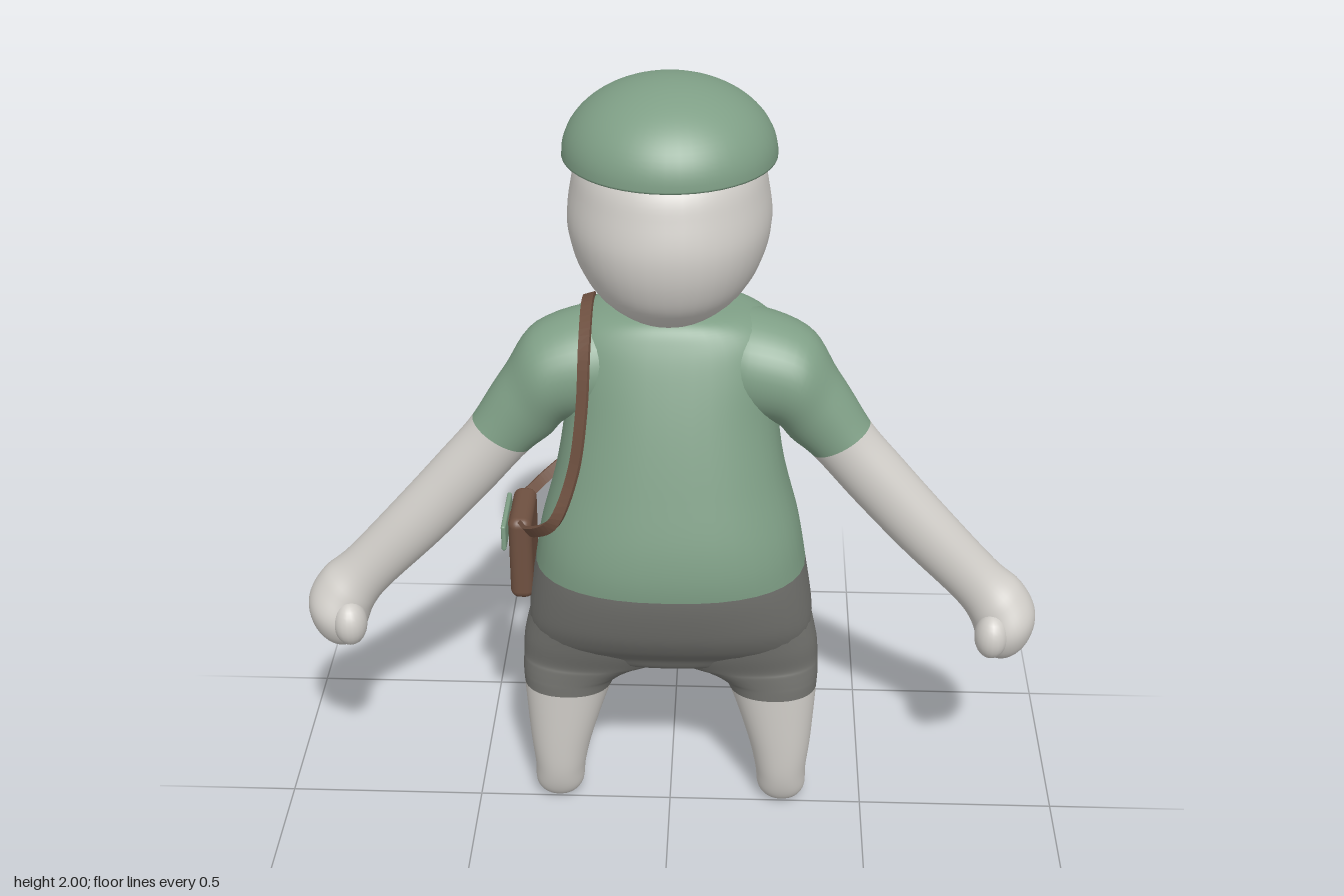
import * as THREE from 'three';
import { RoundedBoxGeometry } from 'three/addons/geometries/RoundedBoxGeometry.js';

const material = (name, color) => {
  const m = new THREE.MeshStandardMaterial({ color });
  m.name = name;
  return m;
};

// Smooth body through cross-sections [x, y, z, halfWidth, halfDepth, tiltDegrees], listed bottom to top.
// bands: [material, lastSectionIndex] from the bottom up. side -1 mirrors in x.
function loft(name, sections, bands, { side = 1, power = 2, steps = 6, sides = 40 } = {}) {
  const centres = new THREE.CatmullRomCurve3(
    sections.map(s => new THREE.Vector3(s[0], s[1], s[2])), false, 'catmullrom');
  const sizes = new THREE.CatmullRomCurve3(
    sections.map(s => new THREE.Vector3(s[3], s[4], s[5] || 0)), false, 'catmullrom');
  const rows = (sections.length - 1) * steps;
  const bend = v => Math.sign(v) * Math.abs(v) ** (2 / power);
  const positions = [], index = [];
  for (let j = 0; j <= rows; j++) {
    const c = centres.getPoint(j / rows), r = sizes.getPoint(j / rows);
    const tilt = THREE.MathUtils.degToRad(r.z);
    for (let i = 0; i < sides; i++) {
      const t = (i / sides) * Math.PI * 2;
      const u = Math.max(r.x, 0.001) * bend(Math.cos(t));
      const v = Math.max(r.y, 0.001) * bend(Math.sin(t));
      positions.push(side * (c.x + u * Math.cos(tilt)), c.y + u * Math.sin(tilt), c.z + v);
    }
  }
  for (let j = 0; j < rows; j++) {
    for (let i = 0; i < sides; i++) {
      const a = j * sides + i, b = j * sides + (i + 1) % sides;
      const c = a + sides, d = b + sides;
      if (side > 0) index.push(a, c, b, b, c, d);
      else index.push(a, b, c, b, d, c);
    }
  }
  const geometry = new THREE.BufferGeometry();
  geometry.setAttribute('position', new THREE.Float32BufferAttribute(positions, 3));
  geometry.setIndex(index);
  geometry.computeVertexNormals();
  let start = 0;
  bands.forEach(([, last], k) => {
    const end = last * steps * sides * 6;
    geometry.addGroup(start, end - start, k);
    start = end;
  });
  const mesh = new THREE.Mesh(geometry, bands.map(b => b[0]));
  mesh.name = name;
  return mesh;
}

// Flat strap that follows a path, its face turned away from a centre point
function ribbon(points, centre, width, thickness) {
  const curve = new THREE.CatmullRomCurve3(points.map(p => new THREE.Vector3(...p)));
  const n = 90, positions = [], index = [];
  const corners = [[-1, -1], [1, -1], [1, 1], [-1, 1]];
  for (let j = 0; j <= n; j++) {
    const p = curve.getPoint(j / n), t = curve.getTangent(j / n);
    const out = p.clone().sub(centre);
    out.addScaledVector(t, -out.dot(t)).normalize();
    const across = t.clone().cross(out);
    for (const [a, b] of corners) {
      const q = p.clone().addScaledVector(across, a * width / 2).addScaledVector(out, b * thickness / 2);
      positions.push(q.x, q.y, q.z);
    }
  }
  for (let j = 0; j < n; j++) {
    for (let i = 0; i < 4; i++) {
      const a = j * 4 + i, b = j * 4 + (i + 1) % 4;
      index.push(a, a + 4, b, b, a + 4, b + 4);
    }
  }
  let g = new THREE.BufferGeometry();
  g.setAttribute('position', new THREE.Float32BufferAttribute(positions, 3));
  g.setIndex(index);
  g = g.toNonIndexed();
  g.computeVertexNormals();
  return g;
}

export function createModel() {
  const skin = material('pale skin', 0xd0cdc8);
  const green = material('sage green', 0x7f9f86);
  const grey = material('shorts grey', 0x73736f);
  const brown = material('leather brown', 0x6e5040);
  const strapBrown = brown.clone();
  strapBrown.side = THREE.DoubleSide;

  const model = new THREE.Group();
  const add = (name, geometry, mat, x = 0, y = 0, z = 0) => {
    const mesh = new THREE.Mesh(geometry, mat);
    mesh.name = name;
    mesh.position.set(x, y, z);
    model.add(mesh);
    return mesh;
  };

  // Torso: shorts below the waist, shirt above
  model.add(loft('torso', [
    [0, 0.453, -0.04, 0.001, 0.001], [0, 0.455, -0.04, 0.2, 0.09],
    [0, 0.5, -0.042, 0.335, 0.125], [0, 0.55, -0.045, 0.355, 0.168],
    [0, 0.62, -0.05, 0.353, 0.207], [0, 0.74, -0.047, 0.335, 0.232],
    [0, 0.85, -0.046, 0.316, 0.225], [0, 1.0, -0.06, 0.277, 0.2],
    [0, 1.15, -0.09, 0.256, 0.185], [0, 1.27, -0.115, 0.262, 0.168],
    [0, 1.34, -0.127, 0.25, 0.15], [0, 1.38, -0.13, 0.19, 0.128],
    [0, 1.396, -0.125, 0.1, 0.09], [0, 1.4, -0.12, 0.03, 0.03],
  ], [[grey, 5], [green, 13]], { power: 2.35 }));

  // Head and neck
  model.add(loft('head', [
    [0, 1.36, -0.12, 0.085, 0.085], [0, 1.405, -0.118, 0.068, 0.078],
    [0, 1.435, -0.06, 0.085, 0.14], [0, 1.47, -0.02, 0.125, 0.185],
    [0, 1.53, 0.015, 0.175, 0.227], [0, 1.6, 0.022, 0.212, 0.256],
    [0, 1.68, 0.021, 0.23, 0.268], [0, 1.76, 0.016, 0.222, 0.257],
    [0, 1.83, 0.01, 0.203, 0.235], [0, 1.9, 0.01, 0.15, 0.16], [0, 1.94, 0.01, 0.001, 0.001],
  ], [[skin, 10]], { power: 2.1 }));

  // Domed cap with a thin underside
  const dome = [new THREE.Vector2(0.17, 1.836), new THREE.Vector2(0.24, 1.83)];
  for (let i = 0; i <= 20; i++) {
    const t = (i / 20) * Math.PI / 2;
    dome.push(new THREE.Vector2(0.24 * Math.cos(t), 1.834 + 0.166 * Math.sin(t)));
  }
  add('cap', new THREE.LatheGeometry(dome, 48), green, 0, 0, 0.02);

  for (const side of [1, -1]) {
    const label = side > 0 ? 'left' : 'right';
    // Leg, skin up to the hem of the shorts
    model.add(loft(label + 'Leg', [
      [0.293, 0, -0.037, 0.001, 0.001], [0.293, 0.004, -0.037, 0.035, 0.035],
      [0.292, 0.035, -0.036, 0.061, 0.06], [0.289, 0.1, -0.034, 0.066, 0.076],
      [0.283, 0.2, -0.035, 0.082, 0.085], [0.2625, 0.36, -0.037, 0.1125, 0.092],
      [0.246, 0.4, -0.038, 0.131, 0.094], [0.216, 0.43, -0.039, 0.16, 0.097],
      [0.186, 0.45, -0.04, 0.189, 0.1], [0.155, 0.51, -0.04, 0.215, 0.122],
      [0.15, 0.6, -0.045, 0.2, 0.15],
    ], [[skin, 5], [grey, 10]], { side, power: 2.2 }));

    // Arm from fist to shoulder, sleeve at the top
    model.add(loft(label + 'Arm', [
      [0.843, 0.488, -0.01, 0.001, 0.001, 15], [0.842, 0.494, -0.01, 0.035, 0.04, 15],
      [0.842, 0.53, -0.012, 0.068, 0.073, 20], [0.838, 0.58, -0.015, 0.081, 0.088, 28],
      [0.81, 0.635, -0.025, 0.078, 0.078, 36], [0.755, 0.692, -0.032, 0.07, 0.066, 40],
      [0.627, 0.828, -0.036, 0.075, 0.067, 41], [0.51, 0.958, -0.045, 0.078, 0.069, 38],
      [0.41, 1.074, -0.055, 0.081, 0.073, 31], [0.345, 1.153, -0.073, 0.1, 0.095, 55],
      [0.285, 1.225, -0.092, 0.122, 0.127, 70], [0.16, 1.25, -0.115, 0.133, 0.14, 85],
      [0.1, 1.25, -0.12, 0.1, 0.1, 88],
    ], [[skin, 8], [green, 12]], { side }));

    // Thumb bump
    const thumb = add(label + 'Thumb', new THREE.SphereGeometry(1, 20, 14), skin, side * 0.8, 0.572, 0.045);
    thumb.scale.set(0.042, 0.06, 0.05);
  }

  // Shoulder bag with its strap and side flap
  add('bag', new RoundedBoxGeometry(0.058, 0.23, 0.18, 4, 0.022), brown, -0.372, 0.73, -0.095);
  add('bagFlap', new RoundedBoxGeometry(0.012, 0.07, 0.17, 3, 0.005), green, -0.412, 0.795, -0.09);
  add('flapFastener', new THREE.BoxGeometry(0.02, 0.03, 0.05), brown, -0.4, 0.795, -0.09);
  add('strap', ribbon([
    [-0.365, 0.83, -0.015], [-0.335, 0.865, 0.07], [-0.27, 0.94, 0.145],
    [-0.225, 1.06, 0.122], [-0.205, 1.2, 0.08], [-0.2, 1.34, 0.01],
    [-0.2, 1.394, -0.1], [-0.2, 1.36, -0.22], [-0.2, 1.25, -0.28],
    [-0.2, 1.1, -0.285], [-0.215, 0.98, -0.283], [-0.265, 0.89, -0.27],
    [-0.325, 0.85, -0.22], [-0.365, 0.83, -0.17],
  ], new THREE.Vector3(-0.1, 1.05, -0.06), 0.028, 0.01), strapBrown);

  return model;
}
